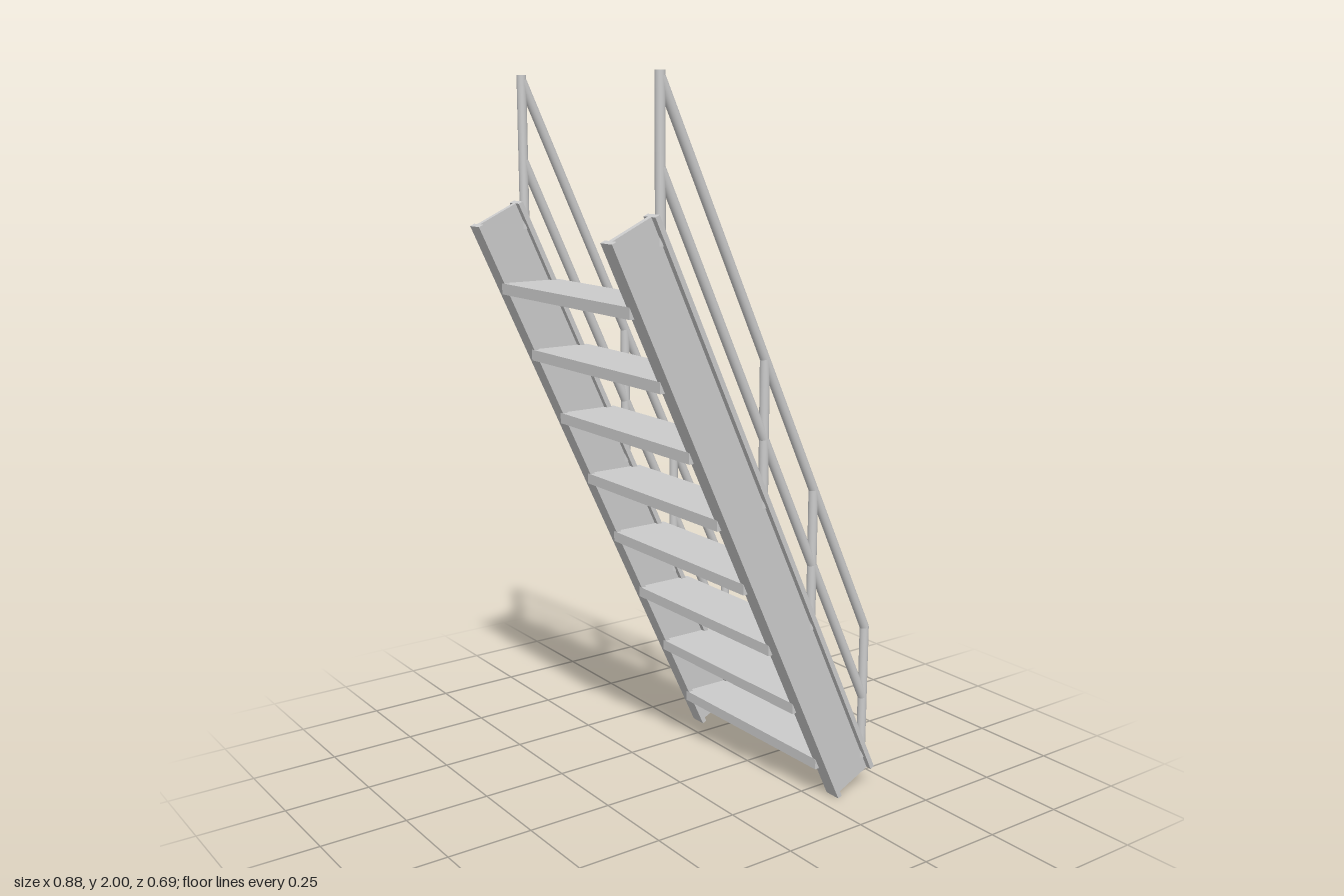
import * as THREE from 'three';

const mat = new THREE.MeshStandardMaterial({ color: 0xcccccc });
const PITCH = THREE.MathUtils.degToRad(65);
const SLOPE = Math.tan(PITCH);
const SIDE_Z = 0.3225;
const TUBE_R = 0.013;

function add(parent, name, geometry) {
  const mesh = new THREE.Mesh(geometry, mat);
  mesh.name = name;
  parent.add(mesh);
  return mesh;
}

// Round bar between two points in the side plane
function bar(parent, name, x1, y1, x2, y2) {
  const a = new THREE.Vector3(x1, y1, 0), b = new THREE.Vector3(x2, y2, 0);
  const mesh = add(parent, name, new THREE.CylinderGeometry(TUBE_R, TUBE_R, a.distanceTo(b), 20));
  mesh.position.copy(a).lerp(b, 0.5);
  mesh.quaternion.setFromUnitVectors(new THREE.Vector3(0, 1, 0), b.sub(a).normalize());
}

// Sloping I-beam: flanges up and down the slope, web in the middle
function stringer(parent) {
  const w = 0.0745, h = 0.025, t = 0.014, web = 0.008;
  const quarter = [[w, -h], [w, h], [w - t, h], [w - t, web]];
  const half = [...quarter, ...quarter.map(([x, y]) => [-x, y]).reverse()];
  const outline = [...half.slice(1, 7), [-w, -h], [-w + t, -h], [-w + t, -web], [w - t, -web], [w - t, -h], [w, -h]];
  const shape = new THREE.Shape(outline.map(([x, y]) => new THREE.Vector2(x, y)));
  const geo = new THREE.ExtrudeGeometry(shape, { depth: 1.772, bevelEnabled: false });
  const c = Math.cos(PITCH), s = Math.sin(PITCH);
  geo.applyMatrix4(new THREE.Matrix4().makeBasis(
    new THREE.Vector3(s, c, 0), new THREE.Vector3(0, 0, -1), new THREE.Vector3(-c, s, 0)));
  add(parent, 'stringer', geo).position.set(0.3725, 0.0315, 0);
}

function railing(parent) {
  const top = -0.29, bottom = 0.409;
  const handY = x => 1.987 - (x - top) * SLOPE;
  const midY = x => handY(x) - 0.21;
  const beamY = x => 0.063 + (0.44 - x) * SLOPE;

  // Posts stand in the upper flange of the stringer
  for (const x of [top, 0.035, 0.208, bottom]) {
    bar(parent, 'post', x, beamY(x) - 0.035, x, x === top ? 2 : handY(x));
  }
  bar(parent, 'handrail', top, handY(top), bottom, handY(bottom));
  bar(parent, 'midRail', top, midY(top), bottom, midY(bottom));
  // Rounded elbow at the foot of the handrail
  add(parent, 'elbow', new THREE.SphereGeometry(TUBE_R, 20, 12)).position.set(bottom, handY(bottom), 0);
}

export function createModel() {
  const group = new THREE.Group();
  group.name = 'staircase';

  // Left and right sides
  for (const [name, sign] of [['frontSide', 1], ['backSide', -1]]) {
    const side = new THREE.Group();
    side.name = name;
    side.position.z = sign * SIDE_Z;
    stringer(side);
    railing(side);
    group.add(side);
  }

  // Treads
  const rise = 0.19, run = rise / SLOPE;
  for (let i = 0; i < 8; i++) {
    add(group, 'tread', new THREE.BoxGeometry(0.18, 0.03, 0.62))
      .position.set(0.338 - i * run, 0.106 + i * rise, 0);
  }
  return group;
}
